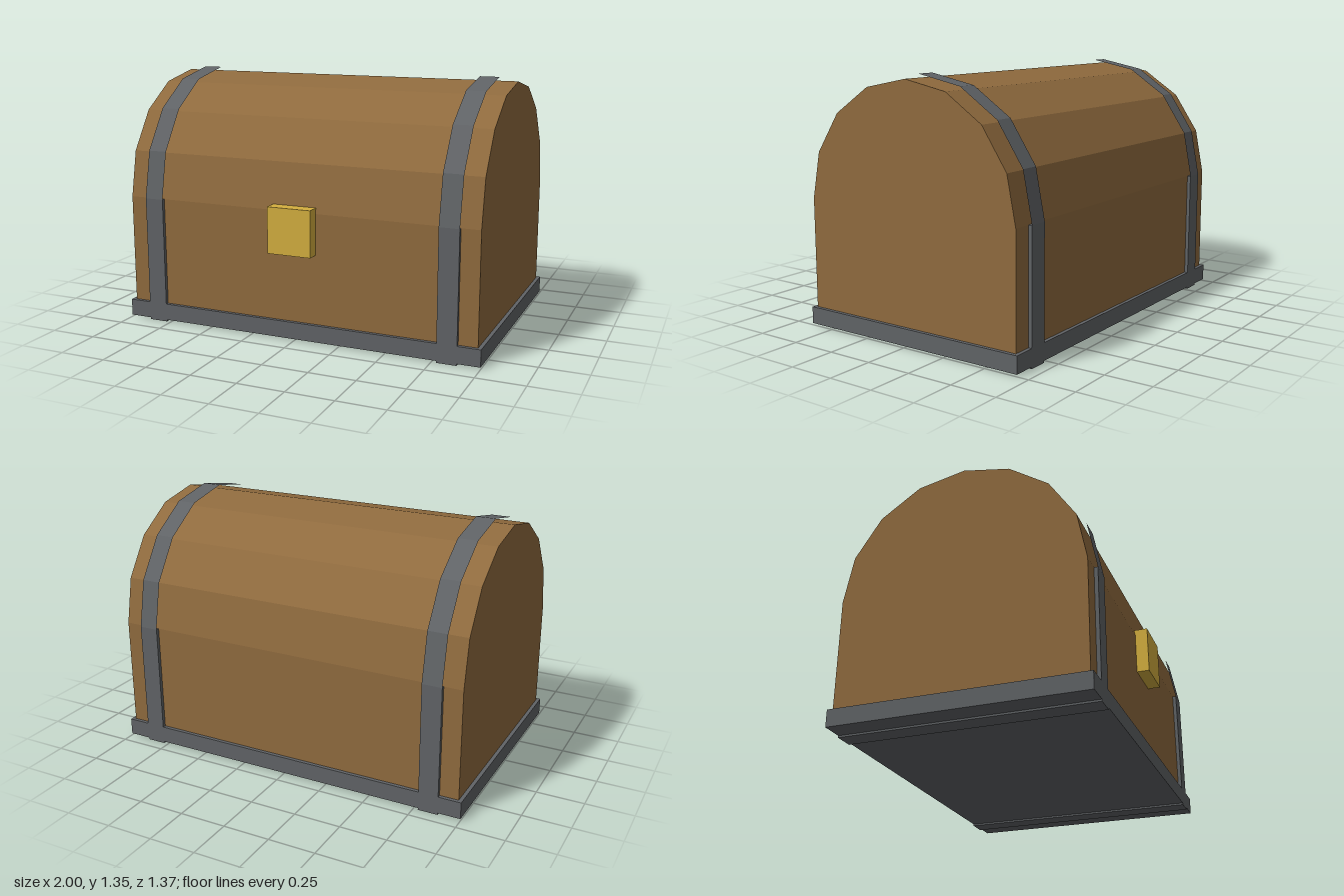
import * as THREE from 'three';

const material = (name, color) => {
  const m = new THREE.MeshStandardMaterial({ color, flatShading: true });
  m.name = name;
  return m;
};

export function createModel() {
  const wood = material('brown wood', 0x906b3e);
  const iron = material('grey iron', 0x606366);
  const brass = material('gold brass', 0xd4af3f);

  const chest = new THREE.Group();
  chest.name = 'chest';
  const centreZ = -0.0225; // the lock sticks out in front, so the body sits back
  const springY = 0.685; // height where the curved lid begins
  const lidRadius = 0.643;
  const strapRadius = 0.6625;
  const strapWidth = 0.105;
  const lidSides = 8;

  const add = (name, geometry, mat, x, y, z) => {
    const mesh = new THREE.Mesh(geometry, mat);
    mesh.name = name;
    mesh.position.set(x, y, z);
    chest.add(mesh);
  };

  // Body and faceted barrel lid in one section, extruded along x
  const section = new THREE.Shape();
  section.moveTo(-lidRadius, 0.02);
  section.lineTo(lidRadius, 0.02);
  for (let i = 0; i <= lidSides; i++) {
    const a = (Math.PI * i) / lidSides;
    section.lineTo(lidRadius * Math.cos(a), springY + lidRadius * Math.sin(a));
  }
  const body = new THREE.ExtrudeGeometry(section, { depth: 1.96, bevelEnabled: false });
  body.translate(0, 0, -0.98).rotateY(Math.PI / 2);
  add('body', body, wood, 0, 0, centreZ);

  // Iron base rim
  add('base', new THREE.BoxGeometry(2, 0.09, strapRadius * 2), iron, 0, 0.055, centreZ);

  // Straps: a straight band around the body and a thin arch over the lid
  for (const side of [-1, 1]) {
    const x = side * 0.8275;
    add('strap', new THREE.BoxGeometry(strapWidth, springY, strapRadius * 2), iron, x, springY / 2, centreZ);
    const arch = new THREE.CylinderGeometry(
      strapRadius, strapRadius, strapWidth, lidSides, 1, true, 0, Math.PI);
    arch.rotateZ(Math.PI / 2);
    add('lidStrap', arch, iron, x, springY, centreZ);
  }

  // Lock plate
  add('lock', new THREE.BoxGeometry(0.24, 0.245, 0.08), brass, 0, 0.5925, 0.646);

  return chest;
}
